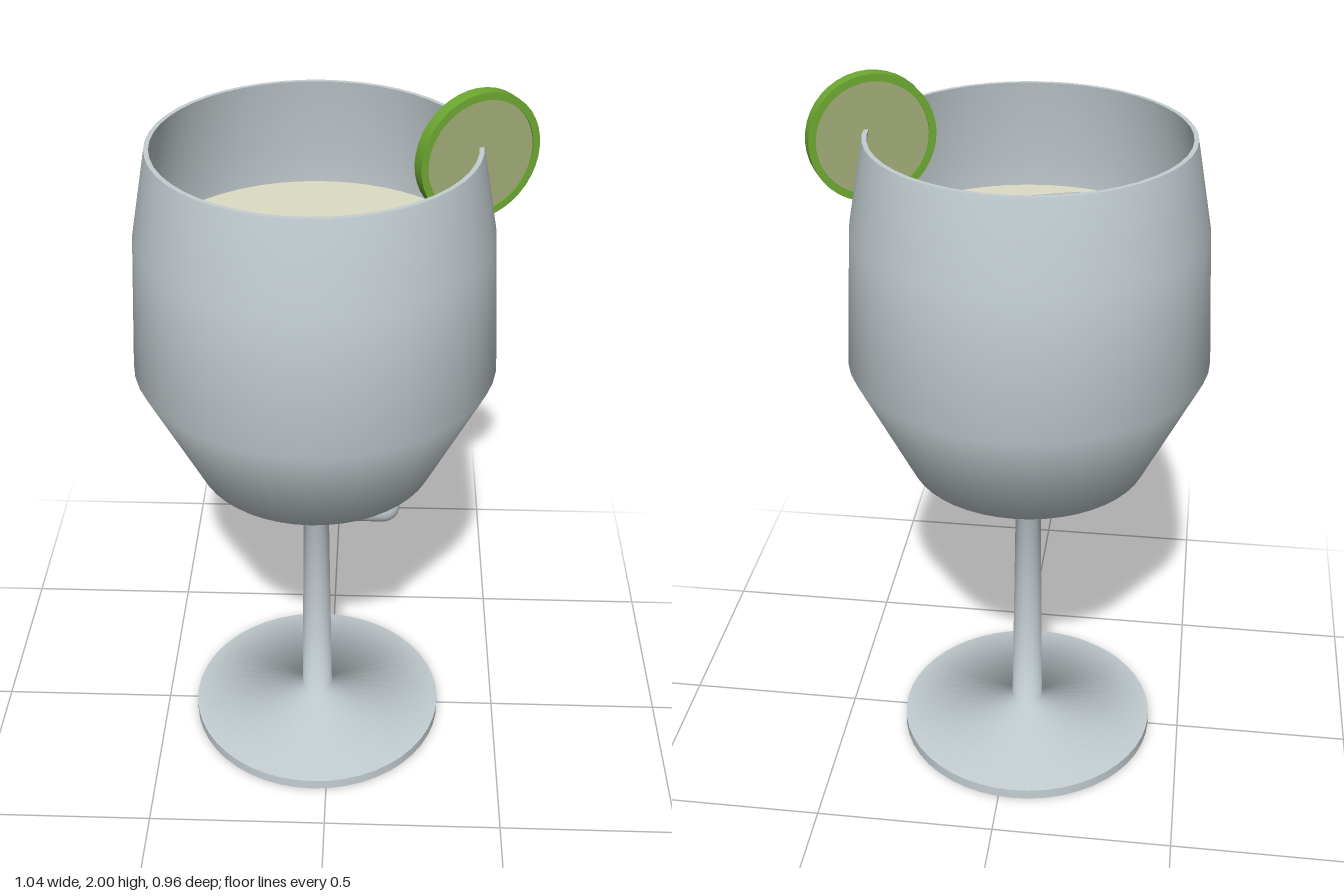
import * as THREE from 'three';
import { RoundedBoxGeometry } from 'three/addons/geometries/RoundedBoxGeometry.js';

const material = (name, color) => {
  const m = new THREE.MeshStandardMaterial({ color });
  m.name = name;
  return m;
};

const lathe = (points, segments = 48) =>
  new THREE.LatheGeometry(points.map(([r, y]) => new THREE.Vector2(r, y)), segments);

export function createModel() {
  const glass = material('glass grey', 0xc4ced2);
  const ice = material('ice grey', 0xbec7cb);
  const drink = material('pale drink', 0xdcdcc6);
  const peel = material('lime peel', 0x6eaa32);
  const pulp = material('lime pulp', 0xa3ad78);

  const model = new THREE.Group();
  model.name = 'cocktailGlass';

  const add = (parent, name, geometry, mat) => {
    const mesh = new THREE.Mesh(geometry, mat);
    mesh.name = name;
    parent.add(mesh);
    return mesh;
  };

  // Goblet: foot, stem and bowl share one axis
  const goblet = new THREE.Group();
  goblet.name = 'goblet';
  goblet.position.x = -0.04;
  model.add(goblet);

  add(goblet, 'foot', new THREE.CylinderGeometry(0.37, 0.37, 0.03, 48), glass).position.y = 0.015;
  add(goblet, 'stemAndBowl', lathe([
    [0.37, 0.03], [0.045, 0.08], [0.035, 0.8], [0.325, 0.935],
    [0.48, 1.255], [0.458, 1.63], [0.415, 1.86],
  ]), glass);
  add(goblet, 'rim', lathe([[0.415, 1.86], [0.403, 1.86]]), glass);
  add(goblet, 'bowlInside', lathe([
    [0.403, 1.86], [0.446, 1.63], [0.468, 1.255], [0.315, 0.945], [0, 0.82],
  ]), glass);

  // Drink: body with a flat surface
  add(goblet, 'drinkBody', lathe([
    [0, 0.83], [0.308, 0.952], [0.463, 1.255], [0.447, 1.55],
  ]), drink);
  const surface = add(goblet, 'drinkSurface', new THREE.CircleGeometry(0.45, 48), drink);
  surface.rotation.x = -Math.PI / 2;
  surface.position.y = 1.55;

  // Ice cubes: one floating, one sunk into the bottom of the bowl
  const cubes = [
    { name: 'floatingIce', position: [-0.09, 1.47, 0.175], rotation: [0.1, 0.43, 0] },
    { name: 'sunkenIce', position: [0.06, 0.965, 0.09], rotation: [-0.38, 0, 0] },
  ];
  for (const { name, position, rotation } of cubes) {
    const cube = add(model, name, new RoundedBoxGeometry(0.265, 0.265, 0.265, 4, 0.045), ice);
    cube.position.set(...position);
    cube.rotation.set(...rotation);
  }

  // Lime slice hooked over the rim: peel ring around a slightly recessed disc
  const lime = new THREE.Group();
  lime.name = 'limeSlice';
  lime.position.set(0.36, 1.835, 0);
  lime.rotation.y = 0.47;
  model.add(lime);

  const h = 0.018;
  const ringParts = [
    ['peelOutside', [[0.165, -h], [0.165, h]]],
    ['peelFront', [[0.165, h], [0.146, h]]],
    ['peelInside', [[0.146, h], [0.146, -h]]],
    ['peelBack', [[0.146, -h], [0.165, -h]]],
  ];
  for (const [name, points] of ringParts) {
    add(lime, name, lathe(points, 40), peel).rotation.x = Math.PI / 2;
  }
  add(lime, 'pulp', new THREE.CylinderGeometry(0.147, 0.147, 0.028, 40), pulp).rotation.x = Math.PI / 2;

  return model;
}
